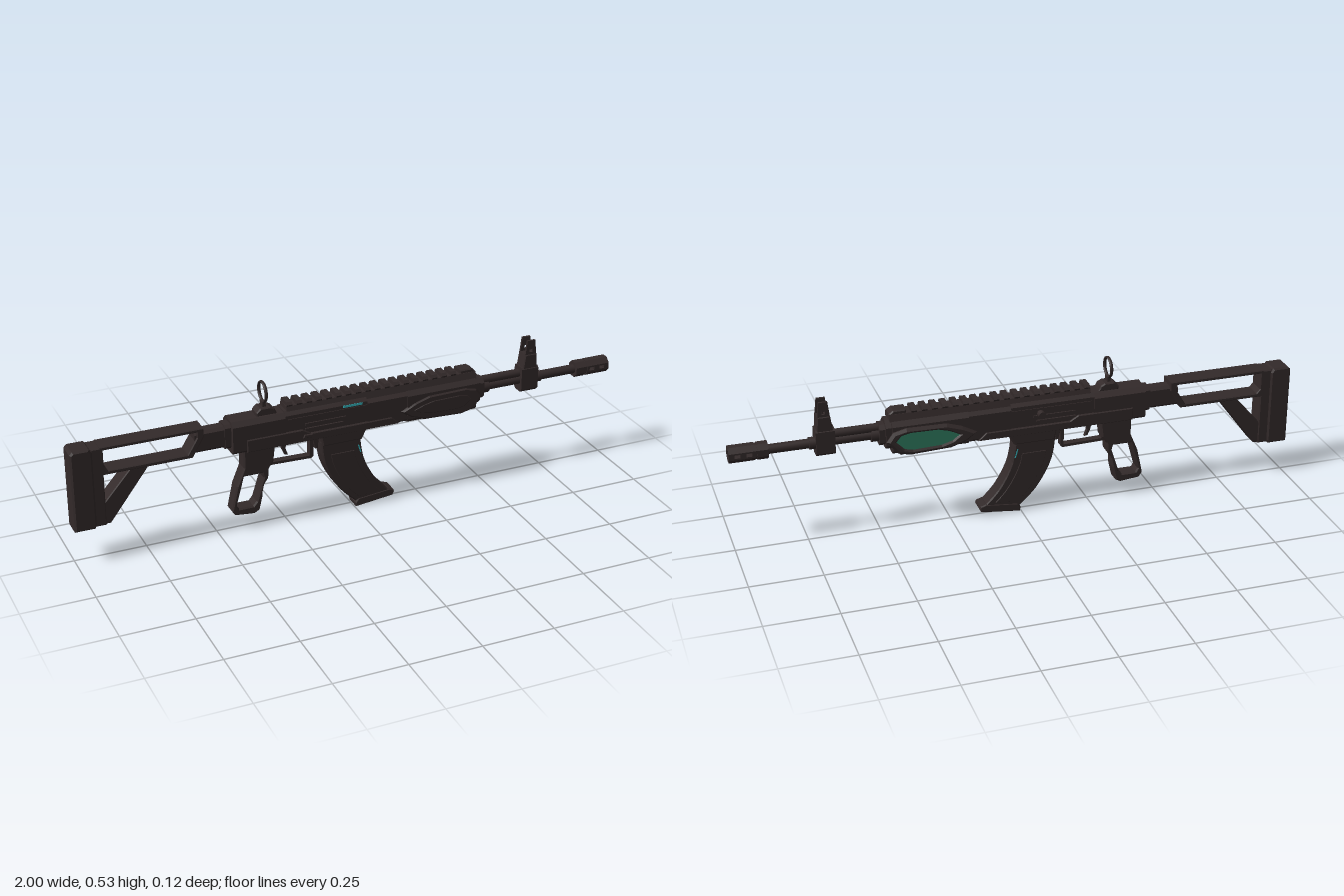
import * as THREE from 'three';

const body = new THREE.MeshStandardMaterial({ color: 0x332a2a });
body.name = 'gunmetal brown';
const glow = new THREE.MeshStandardMaterial({ color: 0x35b5bd });
glow.name = 'cyan accent';
const green = new THREE.MeshStandardMaterial({ color: 0x2f7a60 });
green.name = 'green panel';

// Outline wound counter-clockwise, so that holes keep their walls facing inward
const toShape = (pts) => {
  const v = pts.map(([x, y]) => new THREE.Vector2(x, y));
  return new THREE.Shape(THREE.ShapeUtils.isClockWise(v) ? v.reverse() : v);
};
const AXIS = 0.36; // bore height

export function createModel() {
  const root = new THREE.Group();
  const gun = new THREE.Group();
  gun.name = 'rifle';
  gun.position.z = 0.005;
  root.add(gun);

  const add = (name, geo, mat = body) => {
    const m = new THREE.Mesh(geo, mat);
    m.name = name;
    gun.add(m);
    return m;
  };
  // Side profile (x, y) given depth across z, with chamfered edges
  const slab = (name, pts, z0, z1, bevel = 0.004, holes = [], mat = body) => {
    const s = toShape(pts);
    s.holes = holes.map(toShape);
    const g = new THREE.ExtrudeGeometry(s, {
      depth: z1 - z0 - 2 * bevel, bevelEnabled: bevel > 0, bevelThickness: bevel,
      bevelSize: bevel, bevelOffset: -bevel, bevelSegments: 1, curveSegments: 8,
    });
    g.translate(0, 0, z0 + bevel);
    return add(name, g, mat);
  };
  // Cross-section (z, y) swept along x
  const prism = (name, pts, x0, x1, hole) => {
    const s = toShape(pts.map(([z, y]) => [-z, y]));
    if (hole) s.holes = [new THREE.Path().absarc(0, AXIS, hole, 0, Math.PI * 2)];
    const g = new THREE.ExtrudeGeometry(s, { depth: x1 - x0, bevelEnabled: false, curveSegments: 8 });
    g.rotateY(Math.PI / 2);
    g.translate(x0, 0, 0);
    return add(name, g);
  };
  const box = (name, x0, x1, y0, y1, z0, z1, mat) => {
    const g = new THREE.BoxGeometry(x1 - x0, y1 - y0, z1 - z0);
    g.translate((x0 + x1) / 2, (y0 + y1) / 2, (z0 + z1) / 2);
    return add(name, g, mat);
  };
  const rod = (name, x0, x1, r, y = AXIS, sides = 20) => {
    const g = new THREE.CylinderGeometry(r, r, x1 - x0, sides);
    g.rotateZ(Math.PI / 2);
    g.translate((x0 + x1) / 2, y, 0);
    return add(name, g);
  };
  // Chamfered rectangle; cb and ct are the bottom and top chamfers
  const section = (h, y0, y1, cb, ct) => [
    [-h + cb, y0], [h - cb, y0], [h, y0 + cb], [h, y1 - ct],
    [h - ct, y1], [-h + ct, y1], [-h, y1 - ct], [-h, y0 + cb],
  ];

  // Stock
  slab('buttPad', [[-1, 0.128], [-0.93, 0.128], [-0.925, 0.14], [-0.925, 0.405], [-0.935, 0.42], [-0.99, 0.42], [-1, 0.41]], -0.039, 0.039, 0.006);
  slab('buttPlate', [[-0.93, 0.132], [-0.89, 0.132], [-0.89, 0.416], [-0.93, 0.416]], -0.033, 0.033, 0.004);
  slab('stockFrame',
    [[-0.9, 0.418], [-0.545, 0.418], [-0.545, 0.385], [-0.585, 0.316], [-0.9, 0.316]], -0.033, 0.033, 0.003,
    [[[-0.888, 0.405], [-0.568, 0.405], [-0.568, 0.385], [-0.602, 0.33], [-0.875, 0.33], [-0.888, 0.345]]]);
  slab('stockStrut', [[-0.895, 0.135], [-0.875, 0.135], [-0.735, 0.32], [-0.8, 0.32], [-0.895, 0.212]], -0.03, 0.03, 0.003);
  prism('stockTube', section(0.026, 0.325, 0.402, 0.01, 0.01), -0.575, -0.44);
  prism('stockCollar', section(0.03, 0.32, 0.408, 0.01, 0.01), -0.47, -0.44);

  // Receiver
  prism('rearReceiver', section(0.046, 0.302, 0.418, 0.01, 0.016), -0.448, -0.26);
  prism('midReceiver', section(0.043, 0.302, 0.422, 0.01, 0.014), -0.26, 0.04);
  prism('frontReceiver', section(0.046, 0.302, 0.418, 0.01, 0.018), 0.04, 0.2);
  for (const s of [-1, 1]) {
    const z = (a, b) => (s > 0 ? [a, b] : [-b, -a]);
    slab('receiverSidePlate', [[-0.4, 0.304], [0.16, 0.304], [0.13, 0.332], [-0.17, 0.332], [-0.2, 0.35], [-0.4, 0.35]], ...z(0.04, 0.05), 0.003);
    box('boltTrack', -0.19, -0.04, 0.362, 0.37, ...z(0.04, 0.048));
    box('ejectionRail', -0.19, -0.05, 0.345, 0.352, ...z(0.04, 0.049));
    box('upperSeam', -0.25, 0.04, 0.392, 0.396, ...z(0.04, 0.046));
  }
  slab('selector', [[-0.2, 0.32], [-0.17, 0.318], [-0.165, 0.33], [-0.195, 0.332]], 0.045, 0.055, 0.002);
  box('upperGlow', -0.05, 0.022, 0.4, 0.408, 0.0402, 0.0445, glow);
  const handle = new THREE.CylinderGeometry(0.013, 0.013, 0.022, 12);
  handle.rotateX(Math.PI / 2);
  handle.translate(-0.065, 0.375, -0.054);
  add('chargingHandle', handle);

  // Top rail with teeth
  prism('railBase', [[-0.034, 0.412], [0.034, 0.412], [0.026, 0.436], [-0.026, 0.436]], -0.25, 0.46);
  for (let i = 0; i < 18; i++) {
    const x = -0.248 + i * 0.036;
    prism('railTooth', [[-0.026, 0.434], [0.026, 0.434], [0.029, 0.441], [0.022, 0.45], [-0.022, 0.45], [-0.029, 0.441]], x, x + 0.02);
  }
  slab('railNose', [[0.4, 0.43], [0.46, 0.43], [0.46, 0.437], [0.445, 0.448], [0.4, 0.448]], -0.024, 0.024, 0.004);

  // Rear ring sight
  slab('rearSightBase', [[-0.355, 0.415], [-0.28, 0.415], [-0.29, 0.436], [-0.305, 0.444], [-0.34, 0.444], [-0.355, 0.43]], -0.024, 0.024, 0.004);
  box('rearSightStem', -0.329, -0.317, 0.44, 0.462, -0.012, 0.012);
  const ring = new THREE.TorusGeometry(0.0345, 0.0038, 8, 36);
  ring.rotateY(Math.PI / 2);
  ring.scale(1.6, 1, 1);
  ring.translate(-0.323, 0.495, 0);
  add('rearSightRing', ring);

  // Handguard
  prism('handguard', section(0.049, 0.297, 0.42, 0.014, 0.022), 0.19, 0.455);
  prism('handguardNose', section(0.038, 0.312, 0.415, 0.016, 0.022), 0.455, 0.475);
  prism('handguardCap', section(0.03, 0.325, 0.4, 0.014, 0.014), 0.475, 0.495);
  const leaf = [[0.165, 0.345], [0.2, 0.318], [0.255, 0.3], [0.4, 0.294], [0.44, 0.305], [0.478, 0.35], [0.455, 0.382], [0.41, 0.393], [0.27, 0.39], [0.215, 0.372]];
  const inset = (k, j, cx = 0.325) => leaf.map(([x, y]) => [cx + (x - 0.325) * k, 0.345 + (y - 0.345) * j]);
  slab('leafFrame', leaf, -0.064, -0.042, 0.009, [inset(0.68, 0.58, 0.338)]);
  slab('leafPanel', inset(0.76, 0.7, 0.338), -0.058, -0.05, 0, [], green);
  slab('leafCover', leaf, 0.036, 0.054, 0.008);
  slab('leafRidge', inset(0.7, 0.5), 0.05, 0.056, 0.002);
  slab('slingMount', [[0.385, 0.3], [0.4, 0.278], [0.42, 0.275], [0.43, 0.285], [0.435, 0.3]], -0.014, 0.014, 0.003);

  // Barrel and gas tube
  rod('barrel', 0.48, 0.88, 0.0165);
  rod('gasTube', 0.48, 0.65, 0.015, 0.385, 12);
  rod('barrelCollar', 0.49, 0.52, 0.024);
  rod('barrelStep', 0.7, 0.73, 0.021);

  // Front sight
  prism('frontSightBlock', section(0.027, 0.318, 0.412, 0.01, 0.006), 0.645, 0.71);
  slab('frontSightBase', [[0.65, 0.405], [0.706, 0.405], [0.702, 0.46], [0.658, 0.46]], -0.025, 0.025, 0.003);
  for (const z0 of [-0.0225, 0.0145]) {
    slab('frontSightEar', [[0.656, 0.44], [0.703, 0.44], [0.695, 0.512], [0.665, 0.512]], z0, z0 + 0.008, 0,
      [[[0.674, 0.468], [0.686, 0.468], [0.686, 0.48], [0.674, 0.48]]]);
  }
  const pin = new THREE.CylinderGeometry(0.0015, 0.005, 0.042, 8);
  pin.translate(0.68, 0.476, 0);
  add('frontSightPin', pin);

  // Muzzle brake, with open slots through its sides
  const oct = section(0.028, AXIS - 0.028, AXIS + 0.028, 0.0164, 0.0164);
  prism('muzzleRear', oct, 0.868, 0.905);
  prism('muzzleWaist', section(0.025, AXIS - 0.025, AXIS + 0.025, 0.0146, 0.0146), 0.9, 0.912);
  for (const [x0, x1] of [[0.912, 0.922], [0.942, 0.962], [0.982, 1]]) prism('muzzleRib', oct, x0, x1, 0.014);
  const half = [[-0.028, 0.006], [0.028, 0.006], [0.028, 0.0116], [0.0116, 0.028], [-0.0116, 0.028], [-0.028, 0.0116]];
  for (const x of [0.922, 0.962]) {
    for (const s of [-1, 1]) prism('muzzleBar', half.map(([z, y]) => [z, AXIS + s * y]), x, x + 0.02);
  }

  // Magazine
  const curve = (pts) => new THREE.SplineCurve(pts.map((p) => new THREE.Vector2(...p))).getPoints(10).map((p) => [p.x, p.y]);
  const rear = curve([[-0.125, 0.275], [-0.11, 0.185], [-0.06, 0.09], [0.003, 0.025]]);
  const front = curve([[0.132, 0.04], [0.078, 0.1], [0.035, 0.185], [0.02, 0.275]]);
  slab('magazine', [...rear, ...front], -0.03, 0.03, 0.004);
  const mix = (t) => rear.slice(2, 10).map(([x, y], i) => {
    const f = front[8 - i];
    return [x + (f[0] - x) * t, y + (f[1] - y) * t];
  });
  for (const z of [-0.033, 0.028]) slab('magazineRib', [...mix(0.2), ...mix(0.8).reverse()], z, z + 0.005, 0.001);
  slab('magazineFoot', [[0.005, 0.002], [0.145, 0.018], [0.151, 0.03], [0.148, 0.04], [0.128, 0.046], [0.012, 0.034], [0.002, 0.018]], -0.032, 0.032, 0.004);
  slab('magazineWell', [[-0.13, 0.31], [0.05, 0.31], [0.025, 0.262], [-0.12, 0.262]], -0.034, 0.034, 0.005);
  for (const z of [-0.0312, 0.0282]) slab('magazineGlow', [[0.011, 0.242], [0.015, 0.242], [0.024, 0.212], [0.02, 0.212]], z, z + 0.003, 0, [], glow);

  // Skeleton grip
  slab('grip',
    [[-0.405, 0.305], [-0.29, 0.305], [-0.298, 0.24], [-0.315, 0.215], [-0.318, 0.18], [-0.338, 0.15], [-0.34, 0.115], [-0.352, 0.065], [-0.37, 0.055], [-0.44, 0.062], [-0.452, 0.08], [-0.432, 0.17], [-0.405, 0.235]],
    -0.026, 0.026, 0.005,
    [[[-0.405, 0.203], [-0.34, 0.203], [-0.335, 0.185], [-0.362, 0.1], [-0.375, 0.085], [-0.426, 0.085], [-0.434, 0.098]]]);

  // Trigger and guard
  slab('triggerGuard', [[-0.31, 0.31], [-0.31, 0.222], [-0.155, 0.218], [-0.148, 0.225], [-0.148, 0.31]], -0.013, 0.013, 0,
    [[[-0.3, 0.3], [-0.3, 0.231], [-0.16, 0.228], [-0.16, 0.3]]]);
  slab('trigger', [[-0.268, 0.306], [-0.238, 0.306], [-0.247, 0.27], [-0.238, 0.245], [-0.25, 0.247], [-0.26, 0.27]], -0.007, 0.007, 0.002);
  slab('magazineCatch', [[-0.155, 0.306], [-0.125, 0.306], [-0.13, 0.25], [-0.14, 0.25]], -0.012, 0.012, 0.002);

  return root;
}
